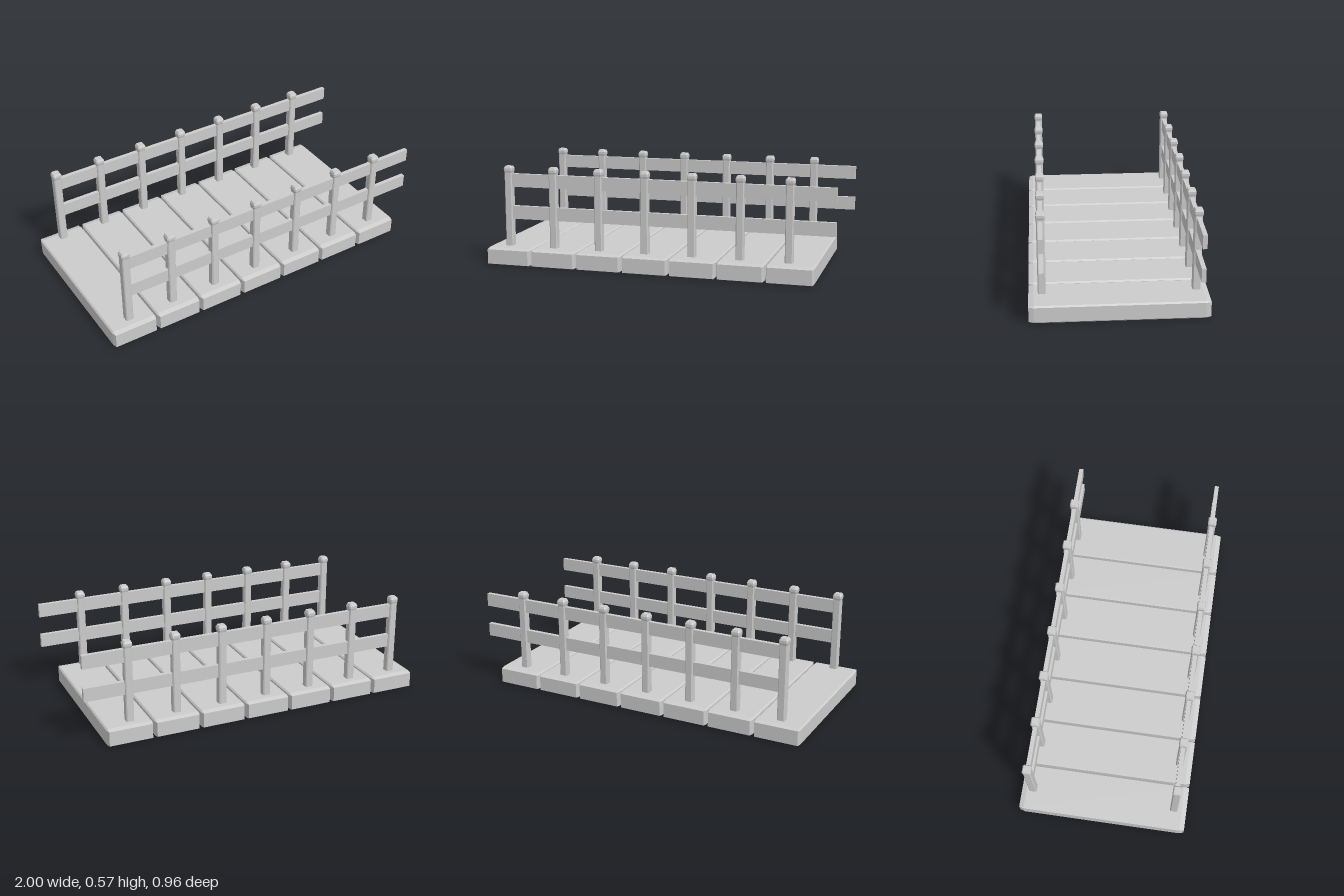
import * as THREE from 'three';
import { ConvexGeometry } from 'three/addons/geometries/ConvexGeometry.js';

const COUNT = 7, PITCH = 0.272;

// Box with every edge chamfered: half sizes h, chamfers b
function chamferedBox(h, b) {
  const points = [];
  for (const sx of [-1, 1]) for (const sy of [-1, 1]) for (const sz of [-1, 1]) {
    for (let full = 0; full < 3; full++) {
      const p = h.map((v, k) => (k === full ? v : v - b[k]));
      points.push(new THREE.Vector3(p[0] * sx, p[1] * sy, p[2] * sz));
    }
  }
  return new ConvexGeometry(points);
}

// Square post with chamfered corners and a slightly wider cap
function postGeometry() {
  const profile = [
    [0, 0.11], [0.022, 0.11], [0.022, 0.535], [0.025, 0.546],
    [0.025, 0.56], [0.019, 0.572], [0, 0.572],
  ].map(([r, y]) => new THREE.Vector2(r, y));
  const geometry = new THREE.LatheGeometry(profile, 8);
  const c = 0.76;
  const corners = [[c, 1], [1, c], [1, -c], [c, -1], [-c, -1], [-1, -c], [-1, c], [-c, 1]];
  const position = geometry.attributes.position;
  for (let i = 0; i < position.count; i++) {
    const [x, z] = corners[Math.floor(i / profile.length) % 8];
    const r = profile[i % profile.length].x;
    position.setX(i, x * r);
    position.setZ(i, z * r);
  }
  geometry.computeVertexNormals();
  return geometry;
}

export function createModel() {
  const model = new THREE.Group();
  model.name = 'footbridge';
  const material = new THREE.MeshStandardMaterial({ color: 0xcccccc, flatShading: true });

  const add = (parent, name, geometry, x, y, z) => {
    const mesh = new THREE.Mesh(geometry, material);
    mesh.name = name;
    mesh.position.set(x, y, z);
    parent.add(mesh);
  };

  // Deck of separate planks
  const deck = new THREE.Group();
  deck.name = 'deck';
  model.add(deck);
  const plank = chamferedBox([0.131, 0.05, 0.48], [0.008, 0.008, 0.027]);
  for (let i = 0; i < COUNT; i++) add(deck, 'plank', plank, -0.869 + i * PITCH, 0.05, 0);

  // Two railings, each with a post per plank and two long rails
  const post = postGeometry();
  const railStart = -0.872, railEnd = 1;
  const rail = new THREE.BoxGeometry(railEnd - railStart, 0.076, 0.024);
  for (const [name, z] of [['frontRailing', 0.407], ['backRailing', -0.415]]) {
    const railing = new THREE.Group();
    railing.name = name;
    railing.position.z = z;
    model.add(railing);
    for (let i = 0; i < COUNT; i++) add(railing, 'post', post, -0.876 + i * 0.271, 0, 0);
    add(railing, 'lowerRail', rail, (railStart + railEnd) / 2, 0.305, 0);
    add(railing, 'upperRail', rail, (railStart + railEnd) / 2, 0.491, 0);
  }
  return model;
}
